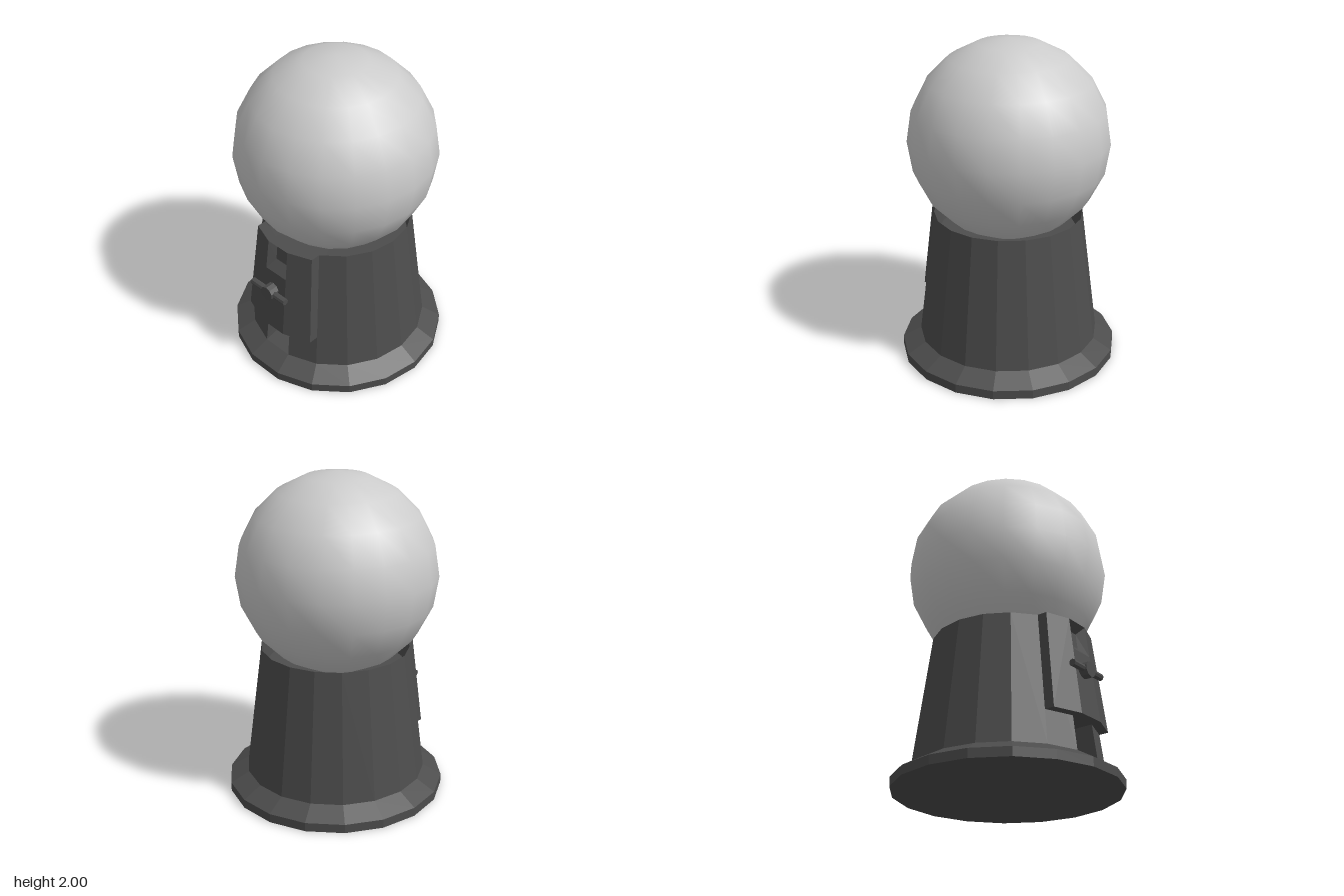
import * as THREE from 'three';

const SIDES = 18, STEP = Math.PI * 2 / SIDES;
const FOOT_Y = 0.12, CHUTE_Y = 0.325, RIM_Y = 0.925;

// radius of the tapering body at height y
const bodyRadius = y => THREE.MathUtils.lerp(0.56, 0.456, (y - FOOT_Y) / (RIM_Y - FOOT_Y));

// point on body edge k (edges sit 10, 30, 50... degrees from the front), pushed forward by dz
function edge(k, y, dz = 0) {
  const a = k * STEP, r = bodyRadius(y);
  return [r * Math.sin(a), y, r * Math.cos(a) + dz];
}

// geometry from four-cornered faces, corners counter-clockwise
function quads(list) {
  const pos = [];
  for (const [a, b, c, d] of list) pos.push(...a, ...b, ...c, ...a, ...c, ...d);
  const g = new THREE.BufferGeometry();
  g.setAttribute('position', new THREE.Float32BufferAttribute(pos, 3));
  g.computeVertexNormals();
  return g;
}

const lathe = (pts, n, start, length) =>
  new THREE.LatheGeometry(pts.map(p => new THREE.Vector2(...p)), n, start, length);

export function createModel() {
  const group = new THREE.Group();
  const dark = new THREE.MeshStandardMaterial({ color: 0x4d4d4d, flatShading: true, side: THREE.DoubleSide });
  const light = new THREE.MeshStandardMaterial({ color: 0xcccccc });
  const add = (name, geometry, material = dark) => {
    const m = new THREE.Mesh(geometry, material);
    m.name = name;
    group.add(m);
    return m;
  };

  // flared foot
  add('base', lathe([[0, 0], [0.675, 0], [0.675, 0.055], [0.56, FOOT_Y], [0.5, FOOT_Y]],
    SIDES, STEP / 2, Math.PI * 2));

  // tapering body, leaving the front facet open for the chute
  add('body', lathe([[0.56, FOOT_Y], [bodyRadius(RIM_Y), RIM_Y]],
    SIDES - 1, STEP / 2, STEP * (SIDES - 1)));
  add('bodyFront', quads([[edge(-0.5, CHUTE_Y), edge(0.5, CHUTE_Y), edge(0.5, RIM_Y), edge(-0.5, RIM_Y)]]));

  // cup inside the rim
  add('globeSeat', lathe([[bodyRadius(RIM_Y), RIM_Y], [0.43, 0.8], [0, 0.775]],
    SIDES, STEP / 2, Math.PI * 2));

  // chute: rising floor, back, sides and ceiling
  const back = (s, y) => [s * 0.097, y, 0.33];
  const fl = edge(-0.5, FOOT_Y), fr = edge(0.5, FOOT_Y);
  const tl = edge(-0.5, CHUTE_Y), tr = edge(0.5, CHUTE_Y);
  const bl = back(-1, 0.16), br = back(1, 0.16), ul = back(-1, CHUTE_Y), ur = back(1, CHUTE_Y);
  add('chute', quads([
    [fl, fr, br, bl], [bl, br, ur, ul],
    [fl, bl, ul, tl], [fr, tr, ur, br], [tl, ul, ur, tr],
  ]));

  // faceted front plate, the body facets moved forward
  const T = 0.06, SLOT_Y = 0.73;
  const faces = [[edge(-0.5, CHUTE_Y, T), edge(0.5, CHUTE_Y, T), edge(0.5, SLOT_Y, T), edge(-0.5, SLOT_Y, T)]];
  for (const k of [-1.5, 0.5])
    faces.push([edge(k, CHUTE_Y, T), edge(k + 1, CHUTE_Y, T), edge(k + 1, RIM_Y, T), edge(k, RIM_Y, T)]);
  for (const k of [-1.5, -0.5, 0.5]) {
    faces.push([edge(k, RIM_Y, T), edge(k + 1, RIM_Y, T), edge(k + 1, RIM_Y), edge(k, RIM_Y)]);
    faces.push([edge(k, CHUTE_Y), edge(k + 1, CHUTE_Y), edge(k + 1, CHUTE_Y, T), edge(k, CHUTE_Y, T)]);
  }
  faces.push([edge(-1.5, CHUTE_Y), edge(-1.5, CHUTE_Y, T), edge(-1.5, RIM_Y, T), edge(-1.5, RIM_Y)]);
  faces.push([edge(1.5, CHUTE_Y, T), edge(1.5, CHUTE_Y), edge(1.5, RIM_Y), edge(1.5, RIM_Y, T)]);
  add('frontPlate', quads(faces));

  // coin slot, a bevelled recess filling the top of the middle facet
  const outer = [edge(-0.5, SLOT_Y, T), edge(0.5, SLOT_Y, T), edge(0.5, RIM_Y, T), edge(-0.5, RIM_Y, T)];
  const inner = [[-0.05, 0.785], [0.045, 0.785], [0.045, 0.88], [-0.05, 0.88]]
    .map(([x, y]) => [x, y, edge(0.5, y, 0.012)[2]]);
  const slot = [inner];
  for (let i = 0; i < 4; i++) {
    const j = (i + 1) % 4;
    slot.push([outer[i], outer[j], inner[j], inner[i]]);
  }
  add('coinSlot', quads(slot));

  // turning knob with its cross bar
  const knob = add('knob', new THREE.CylinderGeometry(0.047, 0.047, 0.065, 10));
  knob.rotation.x = Math.PI / 2;
  knob.position.set(-0.015, 0.605, 0.572);
  const bar = add('knobHandle', new THREE.CylinderGeometry(0.021, 0.021, 0.284, 8));
  bar.rotation.z = Math.PI / 2;
  bar.position.set(-0.02, 0.605, 0.578);

  // globe
  const globe = add('globe', new THREE.SphereGeometry(0.61, 20, 10), light);
  globe.position.set(-0.01, 1.39, 0.005);

  return group;
}
